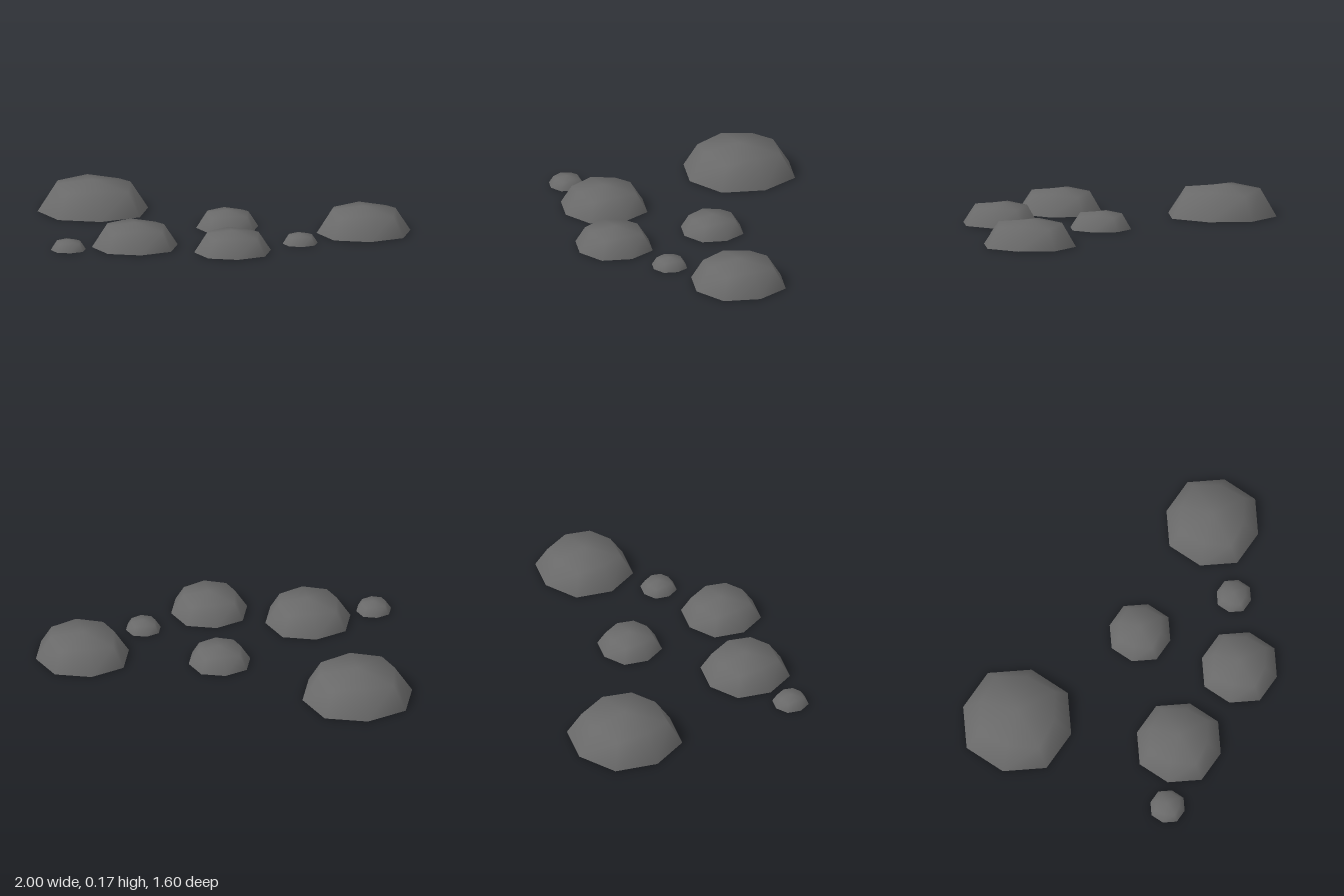
import * as THREE from 'three';

// Unit dome: apex, rounded-square shoulder ring and eight-sided rim, open below
function domeGeometry() {
  const apexHeight = 0.555;
  // [radius on axis, radius on diagonal, height on axis, height on diagonal]
  const rings = [
    [0.68, 0.785, 0.88, 0.76],
    [1, 1.045, 0, 0],
  ];
  const points = [0, apexHeight, 0];
  for (const [rAxis, rDiag, hAxis, hDiag] of rings) {
    for (let i = 0; i < 8; i++) {
      const a = (i * Math.PI) / 4;
      const r = i % 2 ? rDiag : rAxis;
      const h = i % 2 ? hDiag : hAxis;
      points.push(r * Math.cos(a), h * apexHeight, r * Math.sin(a));
    }
  }
  const index = [];
  for (let i = 0; i < 8; i++) {
    const j = (i + 1) % 8;
    const s0 = 1 + i, s1 = 1 + j, r0 = 9 + i, r1 = 9 + j;
    index.push(0, s1, s0, s0, s1, r1, s0, r1, r0);
  }
  const geometry = new THREE.BufferGeometry();
  geometry.setAttribute('position', new THREE.Float32BufferAttribute(points, 3));
  geometry.setIndex(index);
  geometry.computeVertexNormals();
  return geometry;
}

export function createModel() {
  const group = new THREE.Group();
  group.name = 'stones';
  const material = new THREE.MeshStandardMaterial({ color: 0x696969, side: THREE.DoubleSide });
  material.name = 'stone grey';
  const geometry = domeGeometry();

  // Scattered stones: name, x, z, radius
  const stones = [
    ['largeBackStone', -0.635, -0.5, 0.303],
    ['largeLeftStone', 0.74, 0.228, 0.257],
    ['mediumRightStone', -0.535, 0.38, 0.235],
    ['mediumFrontStone', -0.03, 0.585, 0.21],
    ['middleStone', 0.025, 0.013, 0.17],
    ['smallRightStone', -0.905, 0.415, 0.096],
    ['smallLeftStone', 0.36, 0.45, 0.096],
  ];
  for (const [name, x, z, radius] of stones) {
    const stone = new THREE.Mesh(geometry, material);
    stone.name = name;
    stone.position.set(x, 0, z);
    stone.scale.setScalar(radius);
    group.add(stone);
  }
  return group;
}
